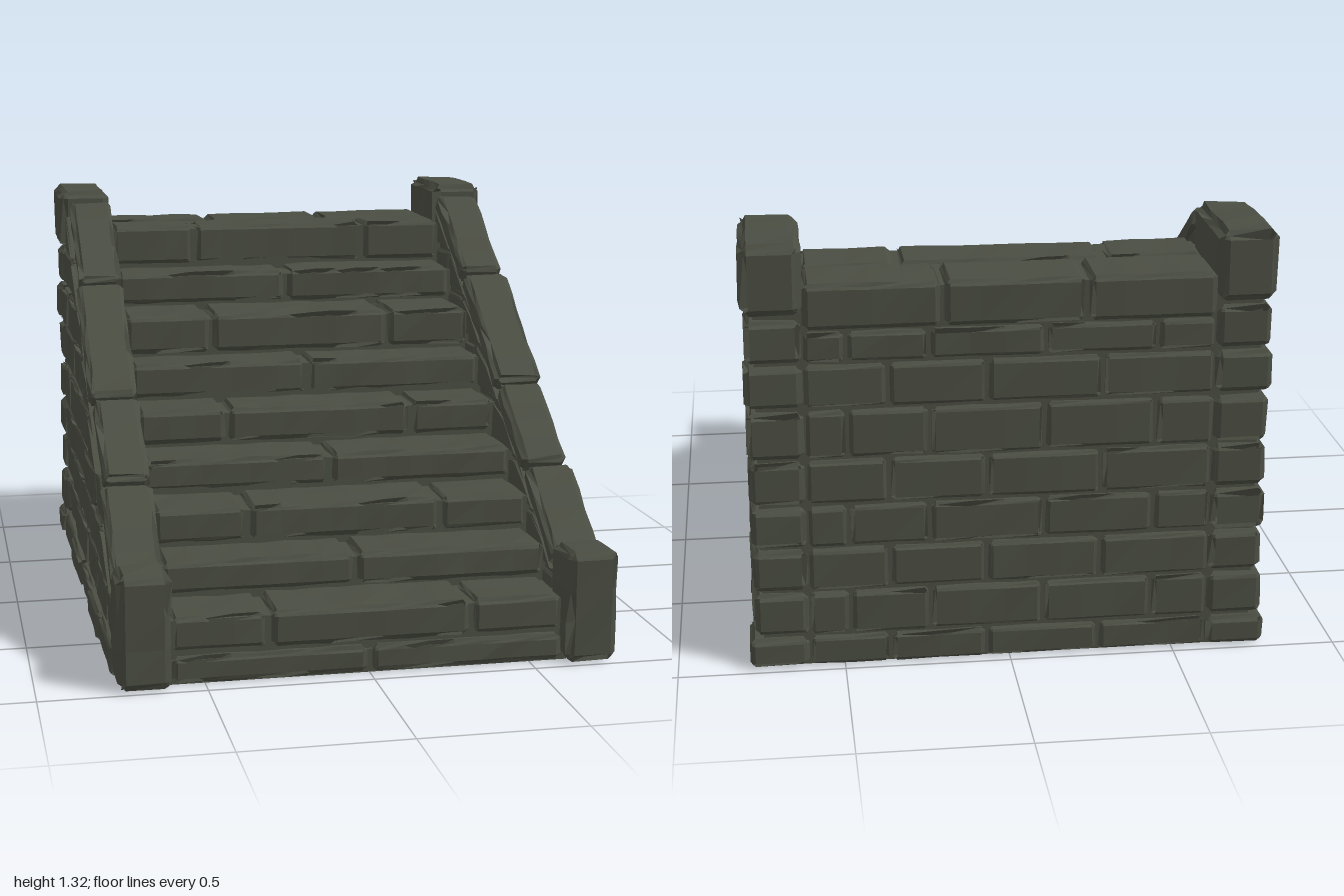
import * as THREE from 'three';

const stoneMat = new THREE.MeshStandardMaterial({ color: 0x4a4d42, flatShading: true });
stoneMat.name = 'mossy grey stone';

// Repeatable pseudo-random value from any numbers
const rnd = (...n) => {
  const s = Math.sin(n.reduce((a, v, i) => a + v * (12.9898 + i * 33.177), 1.7)) * 43758.5453;
  return s - Math.floor(s);
};
let seed = 0;

// Hewn block between two corners: chamfered edges with random chips and slightly uneven faces.
// limit(z) optionally trims the top to a slope.
function stone(parent, name, x, y, z, { bevel = 0.014, wear = 1, rough = 0.005, limit = null } = {}) {
  const id = ++seed;
  const lo = [Math.min(...x), y[0], Math.min(...z)], hi = [Math.max(...x), y[1], Math.max(...z)];
  const half = lo.map((v, i) => (hi[i] - v) / 2), mid = lo.map((v, i) => (hi[i] + v) / 2);
  const seg = half.map(h => Math.max(3, Math.round(h * 2 / 0.065)));
  let geo = new THREE.BoxGeometry(2, 2, 2, ...seg);
  const pos = geo.attributes.position;
  for (let i = 0; i < pos.count; i++) {
    const v = [pos.getX(i), pos.getY(i), pos.getZ(i)];
    const key = v.map(c => Math.round(c * 100));
    const r = rnd(id, ...key);
    const outer = v.map(c => Math.abs(c) > 0.999);
    const onEdge = outer.filter(Boolean).length > 1;
    const chip = r > 0.86 ? 1.1 * wear : 0;
    const p = v.map((c, a) => {
      const b = Math.min(bevel, half[a] * 0.5);
      if (!outer[a]) return mid[a] + c * (half[a] - b) / (1 - 2 / seg[a]);
      const inset = onEdge ? b * (0.45 + 0.35 * r + chip) : rough * r;
      return mid[a] + Math.sign(c) * (half[a] - inset);
    });
    if (limit) p[1] = Math.max(lo[1], Math.min(p[1], limit(p[2])));
    pos.setXYZ(i, ...p);
  }
  geo = geo.toNonIndexed();
  geo.computeVertexNormals();
  const mesh = new THREE.Mesh(geo, stoneMat);
  mesh.name = name;
  parent.add(mesh);
  return mesh;
}

// Solid backing whose (z, y) profile is swept from x0 to x1
function core(parent, name, profile, x0, x1) {
  const shape = new THREE.Shape(profile.map(([z, y]) => new THREE.Vector2(-z, y)));
  const geo = new THREE.ExtrudeGeometry(shape, { depth: x1 - x0, bevelEnabled: false });
  geo.rotateY(Math.PI / 2).translate(x0, 0, 0);
  const mesh = new THREE.Mesh(geo, stoneMat);
  mesh.name = name;
  parent.add(mesh);
}

const SLOPE = 0.69, GAP = 0.004;
const slopeY = z => 0.24 + SLOPE * (0.82 - z);   // underside of the coping
const slopeZ = y => 0.82 - (y - 0.24) / SLOPE;

// Stair courses, bottom to top: tread height and riser position
const treadY = [0.09, 0.21, 0.32, 0.44, 0.55, 0.67, 0.795, 0.93, 1.05, 1.2];
const riserZ = [0.95, 0.94, 0.745, 0.57, 0.37, 0.17, -0.01, -0.17, -0.41, -0.57];

// Wall courses and the vertical joints of the side walls
const rowY = [0, 0.1, 0.245, 0.385, 0.52, 0.665, 0.82, 0.96, 1.1, 1.24];
const sideJoints = [
  [0.49, 0.18, -0.13, -0.49, -0.81], [0.66, 0.33, 0, -0.39, -0.77],
  [0.48, 0.15, -0.2, -0.53, -0.84], [0.58, 0.3, -0.04, -0.4, -0.78],
  [0.13, -0.23, -0.57, -0.81], [-0.08, -0.41, -0.81],
  [-0.26, -0.6, -0.83], [-0.43, -0.81], [],
];

function buildStairs(root) {
  const stairs = new THREE.Group();
  stairs.name = 'stairs';
  root.add(stairs);
  const profile = [[-0.955, 0], [riserZ[0] - 0.02, 0]];
  treadY.forEach((top, i) => {
    const front = riserZ[i], bottom = i ? treadY[i - 1] : 0;
    const back = i < 9 ? riserZ[i + 1] - 0.05 : -0.77;
    const joints = i % 2 ? [-0.606, -0.305, 0.315, 0.606] : [-0.606, 0, 0.606];
    for (let j = 1; j < joints.length; j++) {
      const shift = (rnd(i, j) - 0.5) * 0.014;
      stone(stairs, 'stepBlock', [joints[j - 1] + GAP, joints[j] - GAP], [bottom + (i ? GAP : 0), top + shift * 0.5],
        [back, front + shift], { bevel: 0.02, wear: 1.2, rough: 0.006 });
    }
    profile.push([front - 0.02, top - 0.018]);
    if (i < 9) profile.push([riserZ[i + 1] - 0.02, top - 0.018]);
  });
  profile.push([-0.955, 1.18]);
  core(stairs, 'stairCore', profile, -0.62, 0.62);

  // Rear row of landing slabs
  const slabs = [-0.606, -0.22, 0.2, 0.606];
  for (let j = 1; j < 4; j++) {
    stone(stairs, 'landingSlab', [slabs[j - 1] + GAP, slabs[j] - GAP], [1.06, 1.2], [-0.985, -0.77 - GAP], { bevel: 0.018 });
  }
}

function buildBackWall(root) {
  const wall = new THREE.Group();
  wall.name = 'backWall';
  root.add(wall);
  for (let r = 0; r < 8; r++) {
    const top = Math.min(rowY[r + 1], 1.06);
    const joints = r % 2 ? [-0.606, -0.43, -0.1, 0.24, 0.48, 0.606] : [-0.606, -0.27, 0.07, 0.36, 0.606];
    for (let j = 1; j < joints.length; j++) {
      stone(wall, 'backBrick', [joints[j - 1] + GAP, joints[j] - GAP], [rowY[r] + (r ? GAP : 0), top - GAP],
        [-0.9, -0.974 - 0.012 * rnd(r, j, 5)]);
    }
  }
}

function buildSide(root, side) {
  const wall = new THREE.Group();
  wall.name = side > 0 ? 'leftWall' : 'rightWall';
  root.add(wall);

  // Bricks in courses, trimmed along the slope
  for (let r = 0; r < 9; r++) {
    const start = Math.min(0.83, slopeZ(rowY[r]));
    const end = r === 8 ? -0.64 : -0.98;
    const joints = [start, ...sideJoints[r].filter(z => z < start - 0.05), end];
    for (let j = 1; j < joints.length; j++) {
      const corner = r < 8 && j === joints.length - 1;
      const outer = (r === 0 ? 0.772 : 0.758) + 0.012 * rnd(r, j, side) + (corner ? 0.008 : 0);
      stone(wall, corner ? 'cornerBrick' : 'wallBrick', [side * 0.603, side * outer],
        [rowY[r] + (r ? GAP : 0), rowY[r + 1] - GAP],
        [joints[j - 1] - GAP, joints[j] + (corner ? -0.01 * rnd(r, side) : GAP)],
        { bevel: corner ? 0.02 : 0.014, limit: z => slopeY(z) - 0.004 });
    }
  }
  const x = [side * 0.615, side * 0.742].sort((a, b) => a - b);
  core(wall, 'wallCore', [[-0.955, 0], [0.86, 0], [0.86, 0.2], [-0.6, slopeY(-0.6) - 0.02], [-0.955, 1.18]], ...x);

  // Sloping coping stones
  const ends = [0.83, 0.505, 0.195, -0.25, -0.615];
  const angle = Math.atan(SLOPE);
  for (let j = 1; j < ends.length; j++) {
    const zMid = (ends[j - 1] + ends[j]) / 2;
    const len = (ends[j - 1] - ends[j]) / Math.cos(angle) - 0.008;
    const cap = stone(wall, 'copingStone', [side * 0.6, side * (0.752 + 0.012 * (j % 2))], [-0.036, 0.036],
      [-len / 2, len / 2], { bevel: 0.022, rough: 0.008 });
    cap.position.set(0, slopeY(zMid) + 0.042, zMid);
    cap.rotation.x = angle + (j % 2 ? 0.02 : -0.015);
  }

  // End posts
  stone(wall, 'frontPost', [side * 0.597, side * 0.768], [0, 0.355], [0.815, 0.998], { bevel: 0.028, rough: 0.008, wear: 0.6 });
  stone(wall, 'topPost', [side * 0.597, side * 0.782], [1.104, 1.325], [-1, -0.62], { bevel: 0.03, rough: 0.008, wear: 0.6 });
}

export function createModel() {
  const root = new THREE.Group();
  root.name = 'stoneStaircase';
  buildStairs(root);
  buildBackWall(root);
  buildSide(root, 1);
  buildSide(root, -1);
  return root;
}
